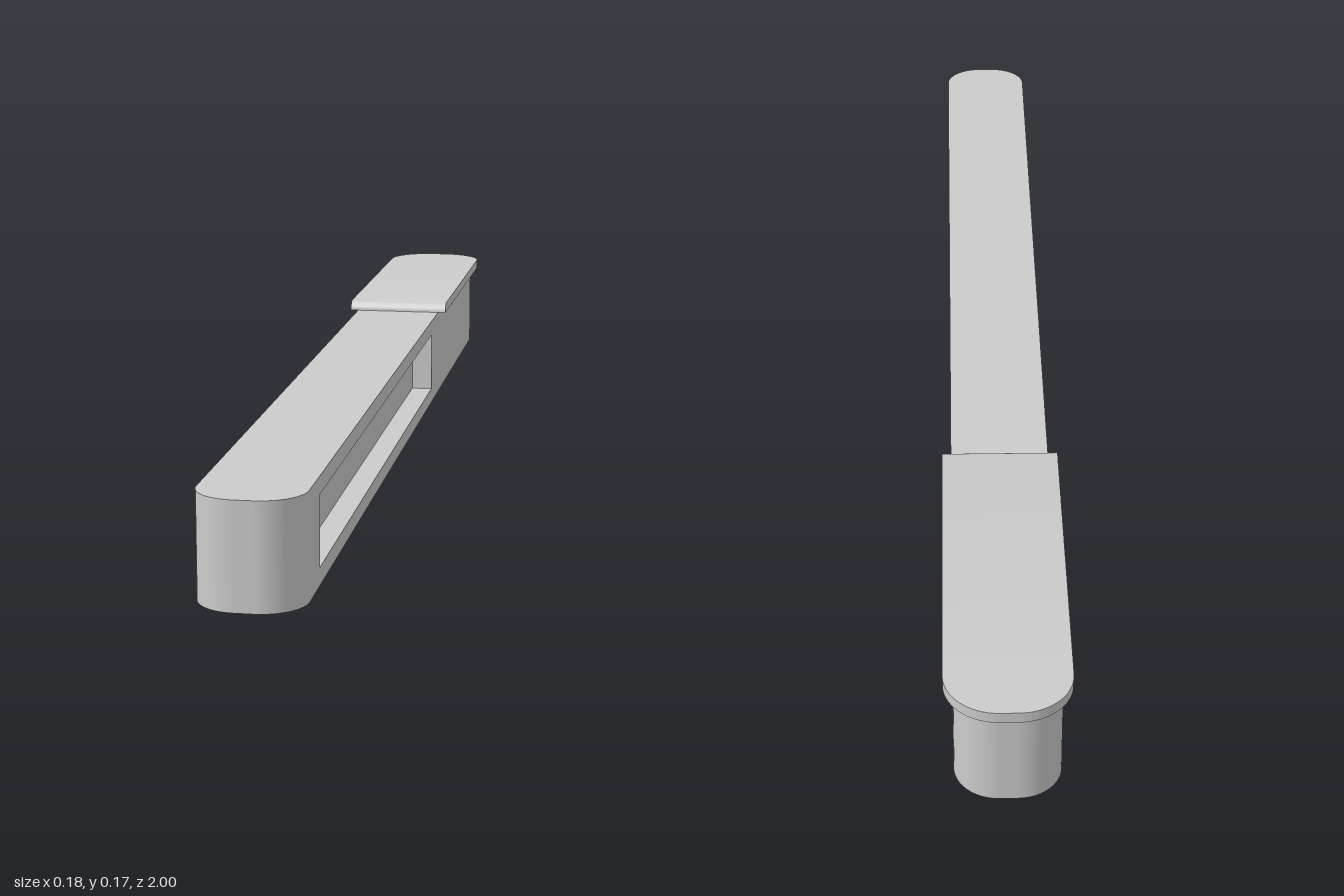
import * as THREE from 'three';
import { mergeGeometries, toCreasedNormals } from 'three/addons/utils/BufferGeometryUtils.js';

const W = 0.077, H = 0.155, ZF = 1, ZB = -0.986, R = 0.064; // body half width, height, ends, corner radius
const LIP = 0.014, CAP_H = 0.017, CAP_FRONT = -0.39;         // cap overhang, thickness, front edge
const SLOT = { z0: -0.3, z1: 0.86, y0: 0.026, y1: 0.129, depth: 0.036 };

// Plan outline drawn with shape y = -z; front corners may be square
function plan(w, zBack, zFront, rBack, rFront) {
  const s = new THREE.Shape();
  const b = -zBack, f = -zFront;
  s.moveTo(-w, f + rFront);
  if (rFront) s.absarc(-w + rFront, f + rFront, rFront, Math.PI, 1.5 * Math.PI);
  s.lineTo(w - rFront, f);
  if (rFront) s.absarc(w - rFront, f + rFront, rFront, -Math.PI / 2, 0);
  s.lineTo(w, b - rBack);
  s.absarc(w - rBack, b - rBack, rBack, 0, Math.PI / 2);
  s.lineTo(-w + rBack, b);
  s.absarc(-w + rBack, b - rBack, rBack, Math.PI / 2, Math.PI);
  s.closePath();
  return s;
}

function rect(path, a0, b0, a1, b1) {
  path.moveTo(a0, b0);
  path.lineTo(a1, b0);
  path.lineTo(a1, b1);
  path.lineTo(a0, b1);
  path.closePath();
  return path;
}

export function createModel() {
  const group = new THREE.Group();
  const material = new THREE.MeshStandardMaterial({ color: 0xcccccc });
  const add = (name, geometry) => {
    const mesh = new THREE.Mesh(geometry, material);
    mesh.name = name;
    group.add(mesh);
  };

  // Top and bottom faces of the body
  const outline = plan(W, ZB, ZF, R, R);
  add('bodyTop', new THREE.ShapeGeometry(outline, 16).rotateX(-Math.PI / 2).translate(0, H, 0));
  const bottom = new THREE.ShapeGeometry(outline, 16).rotateX(Math.PI / 2);
  add('bodyBottom', bottom.translate(0, 0, ZF + ZB));

  // Rounded ends: four quarter-round corners and two narrow flats
  const ends = [];
  for (let k = 0; k < 4; k++) {
    const x = k < 2 ? W - R : R - W;
    const z = k === 0 || k === 3 ? ZF - R : ZB + R;
    ends.push(new THREE.CylinderGeometry(R, R, H, 16, 1, true, k * Math.PI / 2, Math.PI / 2).translate(x, H / 2, z));
  }
  const flat = () => new THREE.PlaneGeometry(2 * (W - R), H);
  ends.push(flat().translate(0, H / 2, ZF));
  ends.push(flat().rotateY(Math.PI).translate(0, H / 2, ZB));
  add('bodyEnds', mergeGeometries(ends));

  for (const side of [1, -1]) {
    const name = side > 0 ? 'left' : 'right';

    // Side wall with a long opening
    const a = z => -side * z;
    const wall = rect(new THREE.Shape(), a(ZF - R), 0, a(ZB + R), H);
    wall.holes.push(rect(new THREE.Path(), a(SLOT.z0), SLOT.y0, a(SLOT.z1), SLOT.y1));
    add(name + 'Wall', new THREE.ShapeGeometry(wall).rotateY(side * Math.PI / 2).translate(side * W, 0, 0));

    // Recess lining: a box turned inside out, without its outer face
    const box = new THREE.BoxGeometry(SLOT.depth, SLOT.y1 - SLOT.y0, SLOT.z1 - SLOT.z0);
    const open = side > 0 ? 0 : 6;
    const faces = Array.from(box.index.array).filter((_, i) => i < open || i >= open + 6);
    box.setIndex(faces.reverse());
    box.clearGroups();
    box.computeVertexNormals();
    box.translate(side * (W - SLOT.depth / 2), (SLOT.y0 + SLOT.y1) / 2, (SLOT.z0 + SLOT.z1) / 2);
    add(name + 'Recess', box);
  }

  // Overhanging cap plate; its front edge is rolled into a quarter round
  const cap = new THREE.ExtrudeGeometry(plan(W + LIP, ZB - LIP, CAP_FRONT, R + LIP, 0),
    { depth: 1, steps: 8, bevelEnabled: false, curveSegments: 16 }).rotateX(-Math.PI / 2);
  const p = cap.attributes.position;
  for (let i = 0; i < p.count; i++) {
    const angle = p.getY(i) * Math.PI / 2;
    if (p.getZ(i) > CAP_FRONT - 0.001) p.setZ(i, CAP_FRONT - CAP_H * (1 - Math.cos(angle)));
    p.setY(i, H + CAP_H * Math.sin(angle));
  }
  add('cap', toCreasedNormals(cap, 0.5));

  return group;
}
